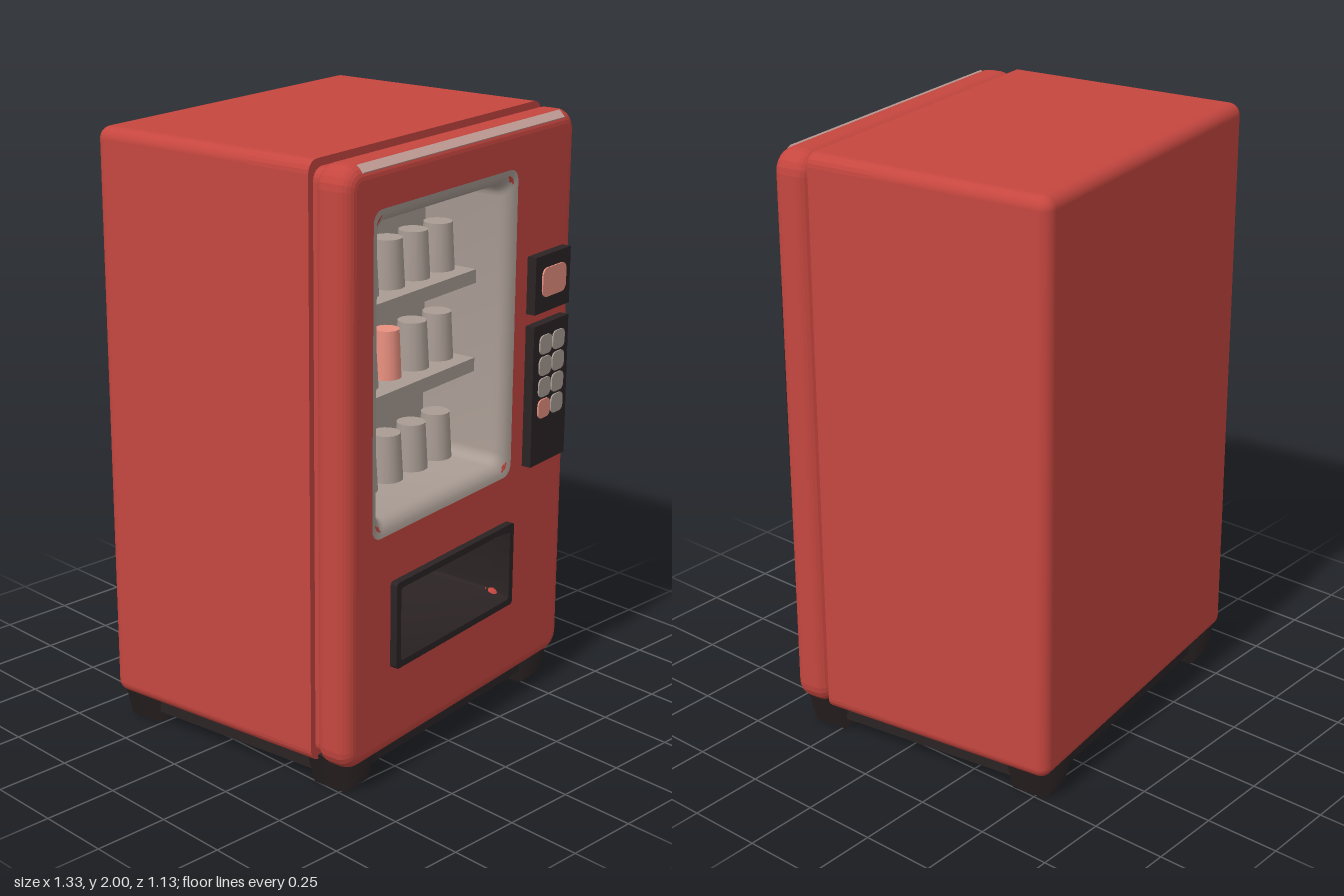
import * as THREE from 'three';
import { toCreasedNormals } from 'three/addons/utils/BufferGeometryUtils.js';
import { RoundedBoxGeometry } from 'three/addons/geometries/RoundedBoxGeometry.js';

const material = (name, color, side = THREE.FrontSide) => {
  const m = new THREE.MeshStandardMaterial({ color, side });
  m.name = name;
  return m;
};

// Counter-clockwise rounded rectangle [x0, y0, x1, y1], shrunk by inset
function roundRect([x0, y0, x1, y1], r, inset = 0) {
  const pts = [];
  const corners = [[x1, y1, -1, -1], [x0, y1, 1, -1], [x0, y0, 1, 1], [x1, y0, -1, 1]];
  corners.forEach(([x, y, sx, sy], q) => {
    for (let k = 0; k <= 5; k++) {
      const a = (q + k / 5) * Math.PI / 2;
      pts.push(new THREE.Vector2(
        x + sx * (inset + r) + r * Math.cos(a),
        y + sy * (inset + r) + r * Math.sin(a)));
    }
  });
  return pts;
}

// Upright slab with holes between z0 and z1, edges rounded by bevel
function slab(rect, r, holes, z0, z1, bevel = 0) {
  const shape = new THREE.Shape(roundRect(rect, r));
  holes.forEach(h => shape.holes.push(new THREE.Path(roundRect(h, 0.03))));
  const geo = new THREE.ExtrudeGeometry(shape, {
    depth: z1 - z0 - 2 * bevel, bevelEnabled: bevel > 0, bevelSize: bevel,
    bevelThickness: bevel, bevelOffset: -bevel, bevelSegments: 6,
  });
  geo.translate(0, 0, z0 + bevel);
  return geo;
}

// Lining of a recess: rounded rectangles joined through [inset, z] sections, closed at the back
function recess(rect, r, sections) {
  const rings = sections.map(([inset, z]) => roundRect(rect, r, inset).map(p => [p.x, p.y, z]));
  const n = rings[0].length, pos = [], idx = [];
  rings.forEach(ring => ring.forEach(p => pos.push(...p)));
  for (let j = 0; j < rings.length - 1; j++) {
    for (let i = 0; i < n; i++) {
      const a = j * n + i, b = j * n + (i + 1) % n;
      idx.push(a, b, a + n, b, b + n, a + n);
    }
  }
  const last = (rings.length - 1) * n;
  for (let i = 1; i < n - 1; i++) idx.push(last, last + i, last + i + 1);
  const geo = new THREE.BufferGeometry();
  geo.setAttribute('position', new THREE.Float32BufferAttribute(pos, 3));
  geo.setIndex(idx);
  return toCreasedNormals(geo, 0.6);
}

export function createModel() {
  const model = new THREE.Group();
  model.name = 'vendingMachine';
  const machine = new THREE.Group();
  machine.name = 'machine';
  machine.rotation.y = 0.143;
  model.add(machine);

  const red = material('red', 0xc5463f);
  const black = material('black', 0x2b2324);
  const grey = material('warmGrey', 0xa99c94);
  const greySheet = material('warmGreySheet', 0xa99c94, THREE.DoubleSide);
  const pink = material('pink', 0xee9483);
  const pale = material('paleHighlight', 0xc8a39a);

  const add = (name, geo, mat, x = 0, y = 0, z = 0) => {
    const mesh = new THREE.Mesh(geo, mat);
    mesh.name = name;
    mesh.position.set(x, y, z);
    machine.add(mesh);
    return mesh;
  };
  const box = (name, mat, x0, y0, z0, x1, y1, z1) => add(name,
    new THREE.BoxGeometry(x1 - x0, y1 - y0, z1 - z0), mat,
    (x0 + x1) / 2, (y0 + y1) / 2, (z0 + z1) / 2);

  const windowRect = [-0.485, 0.83, 0.265, 1.85];
  const trayRect = [-0.387, 0.38, 0.26, 0.67];
  const shrink = ([a, b, c, d], s) => [a + s, b + s, c - s, d - s];
  const holes = [shrink(windowRect, 0.045), shrink(trayRect, 0.045)];

  // Cabinet: solid rear, hollowed front, and a gasket behind the door
  add('cabinetRear', new RoundedBoxGeometry(1.214, 1.905, 0.65, 5, 0.04), red, 0, 1.0475, -0.165);
  add('cabinetFront', slab([-0.607, 0.095, 0.607, 2], 0.04, holes, 0.12, 0.347), red);
  add('doorGasket', slab([-0.585, 0.115, 0.585, 1.975], 0.04, holes, 0.34, 0.37), red);

  // Door with rounded edges and a pale strip along its top
  add('door', slab([-0.607, 0.09, 0.607, 1.992], 0.07, holes, 0.357, 0.487, 0.045), red);
  const strip = add('doorTopStrip', new THREE.BoxGeometry(1.06, 0.006, 0.03), pale, 0, 1.979, 0.474);
  strip.rotation.x = Math.PI / 4;

  // Display window lining with a rounded lip
  const lip = [];
  for (let k = 0; k <= 5; k++) {
    const a = k / 5 * Math.PI / 2;
    lip.push([0.048 * Math.sin(a), 0.441 + 0.048 * Math.cos(a)]);
  }
  add('displayLining', recess(windowRect, 0.04, [...lip, [0.05, 0.17]]), grey);

  // Shelves and rows of cans
  [1.175, 1.47].forEach(y => box('shelf', grey, -0.437, y, 0.17, 0.217, y + 0.045, 0.37));
  const canGeo = new THREE.CylinderGeometry(0.047, 0.056, 0.155, 16);
  [0.88, 1.22, 1.515].forEach((y, row) => {
    for (let i = 0; i < 5; i++) {
      const chosen = row === 1 && i === 2;
      const can = add('can', canGeo, chosen ? pink : grey, -0.385 + i * 0.134, y + 0.0775, 0.265);
      if (chosen) can.scale.set(0.85, 1.03, 0.85);
    }
  });

  // Bent guide plate at the side of the display, with a dark patch beneath it
  const triangle = pts => new THREE.ShapeGeometry(new THREE.Shape(pts.map(p => new THREE.Vector2(...p))));
  add('guidePlate', triangle([[-0.442, 1.06], [-0.31, 1.19], [-0.442, 1.36]]), greySheet, 0, 0, 0.37);
  add('darkPatch', triangle([[-0.442, 0.92], [-0.4, 1.06], [-0.442, 1.1]]), black, 0, 0, 0.37);

  // Dispensing tray
  add('dispenserTray', recess(trayRect, 0.012,
    [[0, 0.46], [0, 0.512], [0.022, 0.512], [0.05, 0.45], [0.06, 0.2]]), black);

  // Payment display and keypad
  box('displayPanel', black, 0.335, 1.36, 0.47, 0.54, 1.55, 0.52);
  box('keypadPanel', black, 0.335, 0.84, 0.47, 0.54, 1.32, 0.52);
  add('screen', slab([0.372, 1.41, 0.51, 1.507], 0.025, [], 0.518, 0.525), pink);
  for (let row = 0; row < 4; row++) {
    [0.402, 0.479].forEach((x, col) => {
      const y = 1.25 - row * 0.073;
      add('keypadButton', slab([x - 0.035, y - 0.032, x + 0.035, y + 0.032], 0.02, [], 0.518, 0.525),
        row === 3 && col === 0 ? pink : grey);
    });
  }

  // Base plate and tapered corner feet
  box('basePlate', black, -0.56, 0.045, -0.455, 0.56, 0.11, 0.44);
  const footGeo = new THREE.CylinderGeometry(0.11, 0.085, 0.11, 4, 1);
  footGeo.rotateY(Math.PI / 4);
  for (const x of [-0.495, 0.495]) {
    for (const z of [-0.4, 0.38]) add('foot', footGeo, black, x, 0.055, z);
  }
  return model;
}
